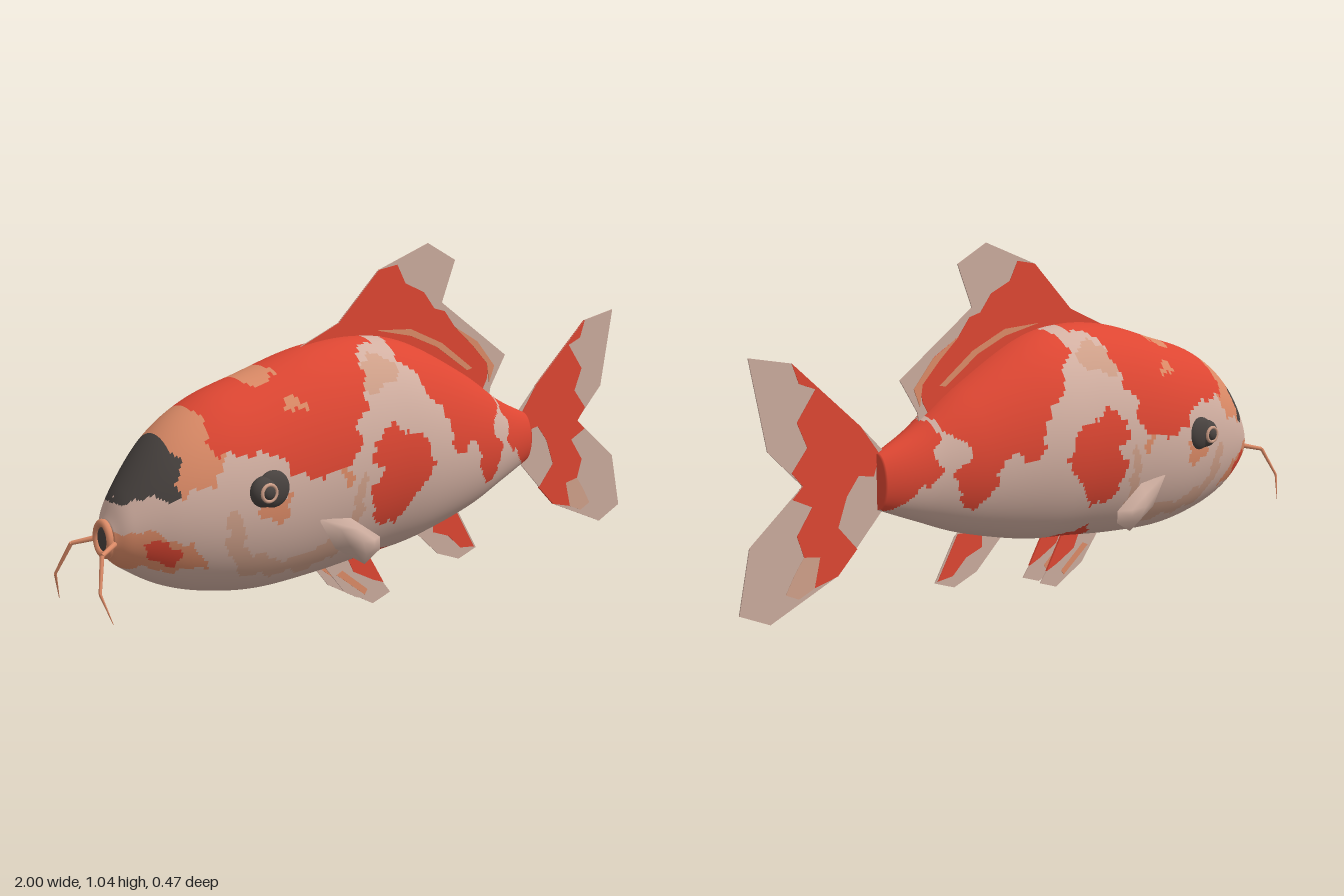
import * as THREE from 'three';

const mat = (name, color) => {
  const m = new THREE.MeshStandardMaterial({ color });
  m.name = name;
  return m;
};

// Flat list of x, y pairs to points
const pts = (list) => {
  const out = [];
  for (let i = 0; i < list.length; i += 2) out.push(new THREE.Vector2(list[i], list[i + 1]));
  return out;
};

const inside = (x, y, poly) => {
  let hit = false;
  for (let i = 0, j = poly.length - 1; i < poly.length; j = i++) {
    const a = poly[i], b = poly[j];
    if ((a.y > y) !== (b.y > y) && x < ((b.x - a.x) * (y - a.y)) / (b.y - a.y) + a.x) hit = !hit;
  }
  return hit;
};

// Colour patches of the skin, drawn in the side plane and shared by both flanks
const noseCap = pts([-0.9, 0.42, -0.87, 0.5, -0.77, 0.64, -0.755, 0.52, -0.775, 0.43, -0.83, 0.43]);
const forehead = pts([-0.79, 0.66, -0.66, 0.7, -0.63, 0.57, -0.65, 0.52, -0.68, 0.46, -0.77, 0.43]);
const frontSaddle = pts([-0.67, 0.7, -0.5, 0.8, -0.16, 0.85, -0.17, 0.75, -0.19, 0.7, -0.2, 0.61,
  -0.25, 0.57, -0.23, 0.52, -0.29, 0.46, -0.37, 0.45, -0.45, 0.46, -0.48, 0.51, -0.56, 0.53, -0.67, 0.53]);
const saddleGap = pts([-0.53, 0.75, -0.44, 0.76, -0.42, 0.71, -0.52, 0.69]);
const saddleFleck = pts([-0.43, 0.66, -0.38, 0.65, -0.39, 0.63, -0.45, 0.62]);
const flankPatch = pts([-0.19, 0.53, -0.12, 0.56, -0.07, 0.54, 0.01, 0.5, 0.03, 0.44, 0, 0.37,
  -0.05, 0.33, -0.08, 0.28, -0.14, 0.27, -0.18, 0.32, -0.2, 0.4, -0.16, 0.44, -0.2, 0.48]);
const backPatch = pts([-0.03, 0.85, 0.13, 0.8, 0.3, 0.7, 0.4, 0.58, 0.38, 0.53, 0.34, 0.53, 0.32, 0.5,
  0.37, 0.44, 0.36, 0.36, 0.3, 0.32, 0.26, 0.38, 0.24, 0.46, 0.2, 0.48, 0.18, 0.44, 0.13, 0.45,
  0.09, 0.57, 0.04, 0.61, 0.01, 0.68, -0.04, 0.72]);
const backSpot = pts([-0.19, 0.83, -0.09, 0.83, -0.1, 0.775, -0.18, 0.76]);
const tailRoot = pts([0.43, 0.6, 0.6, 0.54, 0.6, 0.35, 0.52, 0.35, 0.46, 0.4, 0.4, 0.44, 0.43, 0.49, 0.39, 0.53]);
const bellyPatch = pts([-0.18, 0.1, -0.17, 0.165, -0.12, 0.19, -0.05, 0.18, -0.02, 0.13, -0.04, 0.1]);
const lipSpot = pts([-0.85, 0.31, -0.8, 0.325, -0.75, 0.285, -0.78, 0.25, -0.83, 0.265]);
const jaw = pts([-0.92, 0.35, -0.84, 0.345, -0.74, 0.3, -0.68, 0.24, -0.75, 0.23, -0.84, 0.24, -0.92, 0.25]);
const underEye = pts([-0.56, 0.42, -0.47, 0.42, -0.47, 0.36, -0.51, 0.335, -0.56, 0.36]);
const gillFleck = pts([-0.31, 0.47, -0.28, 0.47, -0.265, 0.43, -0.29, 0.4]);
const nape = pts([-0.2, 0.72, -0.12, 0.75, -0.05, 0.73, -0.08, 0.68, -0.15, 0.65, -0.2, 0.66]);
const gillBand = pts([-0.66, 0.38, -0.62, 0.38, -0.58, 0.26, -0.44, 0.22, -0.28, 0.27, -0.24, 0.44,
  -0.22, 0.44, -0.23, 0.23, -0.36, 0.17, -0.56, 0.19, -0.64, 0.26]);

export function createModel() {
  const pale = mat('pale skin', 0xd3b0a2);
  const red = mat('red', 0xdd4632);
  const orange = mat('orange', 0xdb8a66);
  const blush = mat('blush', 0xcfa089);
  const dark = mat('charcoal', 0x48423f);
  const finPale = mat('pale fin', 0xcaaa9c);
  const group = new THREE.Group();
  const add = (name, geometry, material, parent = group) => {
    const m = new THREE.Mesh(geometry, material);
    m.name = name;
    parent.add(m);
    return m;
  };

  // Body: elliptical sections, each x, top, bottom, half width
  const sections = [
    [-0.91, 0.37, 0.27, 0.05], [-0.87, 0.45, 0.235, 0.09], [-0.765, 0.58, 0.175, 0.15],
    [-0.64, 0.663, 0.137, 0.187], [-0.48, 0.717, 0.117, 0.207], [-0.29, 0.773, 0.128, 0.214],
    [-0.11, 0.79, 0.15, 0.21], [0.06, 0.762, 0.172, 0.197], [0.28, 0.655, 0.23, 0.143],
    [0.43, 0.56, 0.29, 0.087], [0.56, 0.5, 0.345, 0.04]];
  const heights = new THREE.CatmullRomCurve3(sections.map((s) => new THREE.Vector3(s[0], s[1], s[2])), false, 'catmullrom');
  const widths = new THREE.CatmullRomCurve3(sections.map((s) => new THREE.Vector3(s[0], s[3], 0)), false, 'catmullrom');
  const skin = [pale, red, orange, blush, dark];
  // Later patches lie over earlier ones
  const patches = [[gillBand, 3], [nape, 3], [jaw, 2], [underEye, 2], [gillFleck, 2], [forehead, 2],
    [frontSaddle, 1], [saddleGap, 2], [saddleFleck, 2], [flankPatch, 1], [backPatch, 1], [backSpot, 1],
    [tailRoot, 1], [bellyPatch, 1], [lipSpot, 1], [noseCap, 4]];
  const skinAt = (x, y) => {
    const u = x + 0.006 * Math.sin(y * 70) + 0.004 * Math.sin(y * 151 + x * 40);
    const v = y + 0.007 * Math.sin(x * 62) + 0.004 * Math.sin(x * 143 + y * 50);
    let colour = 0;
    for (const [poly, c] of patches) if (inside(u, v, poly)) colour = c;
    return colour;
  };
  const N = 190, M = 136;
  const pos = [];
  for (let i = 0; i <= N; i++) {
    const h = heights.getPoint(i / N), w = widths.getPoint(i / N).y;
    for (let j = 0; j < M; j++) {
      const a = (j / M) * Math.PI * 2;
      pos.push(h.x, (h.y + h.z) / 2 + ((h.y - h.z) / 2) * Math.sin(a), w * Math.cos(a));
    }
  }
  const nose = pos.length / 3;
  pos.push(-0.918, 0.32, 0, 0.56, 0.4225, 0);
  const faces = skin.map(() => []);
  for (let j = 0; j < M; j++) {
    const k = (j + 1) % M;
    for (let i = 0; i < N; i++) {
      const a = i * M + j, b = a + M, c = (i + 1) * M + k, d = i * M + k;
      const x = (pos[a * 3] + pos[b * 3]) / 2, y = (pos[a * 3 + 1] + pos[c * 3 + 1]) / 2;
      faces[skinAt(x, y)].push(a, b, c, a, c, d);
    }
    faces[2].push(nose, j, k);
    faces[1].push(nose + 1, N * M + k, N * M + j);
  }
  const body = new THREE.BufferGeometry();
  body.setAttribute('position', new THREE.Float32BufferAttribute(pos, 3));
  body.setIndex(faces.flat());
  let start = 0;
  faces.forEach((f, i) => {
    body.addGroup(start, f.length, i);
    start += f.length;
  });
  body.computeVertexNormals();
  add('body', body, skin);

  // Thin fin plates; markings are slightly thicker so they show on both faces
  const plate = (name, list, material, depth, parent = group) => {
    const g = new THREE.ExtrudeGeometry(new THREE.Shape(pts(list)), { depth, bevelEnabled: false });
    return add(name, g.translate(0, 0, -depth / 2), material, parent);
  };
  plate('dorsalFin', [-0.31, 0.765, -0.16, 0.83, -0.016, 0.973, 0.166, 1.043, 0.27, 0.99, 0.22, 0.866,
    0.476, 0.69, 0.417, 0.594, 0.41, 0.55, 0.28, 0.63, 0.06, 0.74, -0.11, 0.76], finPale, 0.003);
  plate('dorsalRed', [-0.29, 0.772, -0.16, 0.83, -0.016, 0.973, 0.05, 0.985, 0.08, 0.93, 0.15, 0.9, 0.19, 0.85,
    0.23, 0.84, 0.27, 0.79, 0.36, 0.74, 0.41, 0.68, 0.4, 0.62, 0.38, 0.585, 0.28, 0.63, 0.06, 0.74, -0.11, 0.76], red, 0.006);
  plate('dorsalBaseStreak', [-0.03, 0.8, 0.1, 0.795, 0.22, 0.745, 0.34, 0.66, 0.32, 0.655, 0.2, 0.735, 0.1, 0.775], orange, 0.008);
  plate('dorsalEdgeStreak', [0.27, 0.79, 0.36, 0.74, 0.43, 0.66, 0.41, 0.61, 0.4, 0.67, 0.34, 0.73], orange, 0.0075);

  plate('tailFin', [0.54, 0.51, 0.61, 0.583, 0.82, 0.775, 0.947, 0.802, 0.9, 0.556, 0.797, 0.45,
    0.963, 0.315, 1, 0.144, 0.909, 0.1, 0.695, 0.187, 0.54, 0.345], finPale, 0.003);
  plate('tailRed', [0.55, 0.5, 0.61, 0.583, 0.82, 0.775, 0.8, 0.72, 0.75, 0.7, 0.81, 0.62, 0.78, 0.55, 0.83, 0.49,
    0.797, 0.45, 0.83, 0.42, 0.77, 0.39, 0.82, 0.32, 0.8, 0.26, 0.75, 0.25, 0.77, 0.17, 0.695, 0.187,
    0.63, 0.25, 0.69, 0.32, 0.66, 0.4, 0.62, 0.45, 0.57, 0.44], red, 0.006);
  plate('tailStreak', [0.75, 0.25, 0.8, 0.26, 0.83, 0.22, 0.86, 0.17, 0.82, 0.15, 0.77, 0.17], blush, 0.0055);

  plate('analFin', [0.1, 0.2, 0.21, 0.1, 0.294, 0.07, 0.364, 0.096, 0.29, 0.22, 0.25, 0.25], finPale, 0.003);
  plate('analRed', [0.19, 0.22, 0.28, 0.225, 0.355, 0.1, 0.3, 0.105, 0.25, 0.15, 0.19, 0.17], red, 0.006);

  for (const s of [1, -1]) {
    const side = s > 0 ? 'left' : 'right';

    // Pelvic fins
    const pelvic = new THREE.Group();
    pelvic.name = side + 'PelvicFin';
    pelvic.position.z = s * 0.038;
    plate('pelvicBlade', [-0.257, 0.16, -0.176, 0.06, -0.07, 0.003, -0.005, 0.027, -0.07, 0.11, -0.1, 0.18], finPale, 0.003, pelvic);
    plate('pelvicRed', [-0.17, 0.17, -0.1, 0.175, -0.06, 0.11, -0.03, 0.06, -0.07, 0.075, -0.14, 0.11], red, 0.006, pelvic);
    plate('pelvicStreak', [-0.2, 0.11, -0.1, 0.035, -0.09, 0.05, -0.18, 0.12], orange, 0.006, pelvic);
    group.add(pelvic);

    // Pectoral fins: shallow domes over a pointed outline
    const rim = pts([-0.374, 0.33, -0.32, 0.24, -0.22, 0.18, -0.166, 0.214, -0.166, 0.25, -0.267, 0.318]);
    const fp = [-0.25, 0.255, s * 0.234], fi = [];
    for (const r of [0.55, 1]) {
      for (const p of rim) fp.push(-0.25 + (p.x + 0.25) * r, 0.255 + (p.y - 0.255) * r, s * (0.234 - 0.036 * r * r));
    }
    for (let i = 0; i < 6; i++) {
      const a = 1 + i, b = 1 + ((i + 1) % 6);
      const tris = [[0, a, b], [a, a + 6, b + 6], [a, b + 6, b]];
      for (const t of tris) fi.push(...(s > 0 ? t : t.reverse()));
    }
    const fin = new THREE.BufferGeometry();
    fin.setAttribute('position', new THREE.Float32BufferAttribute(fp, 3));
    fin.setIndex(fi);
    fin.computeVertexNormals();
    finPale.side = THREE.DoubleSide;
    add(side + 'PectoralFin', fin, finPale);

    // Eyes: dark socket, ball, pale iris ring and pupil
    const eye = new THREE.Group();
    eye.name = side + 'Eye';
    eye.position.set(-0.55, 0.43, s * 0.2);
    add('socket', new THREE.SphereGeometry(0.05, 24, 16).scale(1, 1, 0.45), dark, eye).position.set(0.028, 0.004, 0);
    add('eyeball', new THREE.SphereGeometry(0.042, 24, 16).scale(1, 1, 0.7), dark, eye);
    add('iris', new THREE.TorusGeometry(0.022, 0.005, 8, 28), blush, eye).position.z = s * 0.025;
    add('pupil', new THREE.SphereGeometry(0.018, 16, 12).scale(1, 1, 0.6), dark, eye).position.z = s * 0.025;
    group.add(eye);

    // Barbels: tapering jointed whiskers
    const joints = [[-0.905, 0.315, 0.045], [-0.965, 0.3, 0.085], [-0.994, 0.214, 0.125], [-0.973, 0.138, 0.15]]
      .map(([x, y, z]) => new THREE.Vector3(x, y, s * z));
    const radii = [0.008, 0.006, 0.004, 0.0008];
    for (let i = 0; i < 3; i++) {
      const dir = joints[i + 1].clone().sub(joints[i]);
      const m = add(side + 'Barbel', new THREE.CylinderGeometry(radii[i + 1], radii[i], dir.length(), 8), orange);
      m.position.copy(joints[i]).addScaledVector(dir, 0.5);
      m.quaternion.setFromUnitVectors(new THREE.Vector3(0, 1, 0), dir.normalize());
    }
  }

  // Mouth: oval lips around a dark opening
  const lips = add('lips', new THREE.TorusGeometry(0.042, 0.011, 12, 32).rotateY(Math.PI / 2), orange);
  lips.position.set(-0.915, 0.32, 0);
  lips.scale.z = 0.9;
  const opening = add('mouthOpening', new THREE.SphereGeometry(0.034, 20, 12).scale(0.15, 1, 0.9), dark);
  opening.position.set(-0.916, 0.32, 0);
  return group;
}
